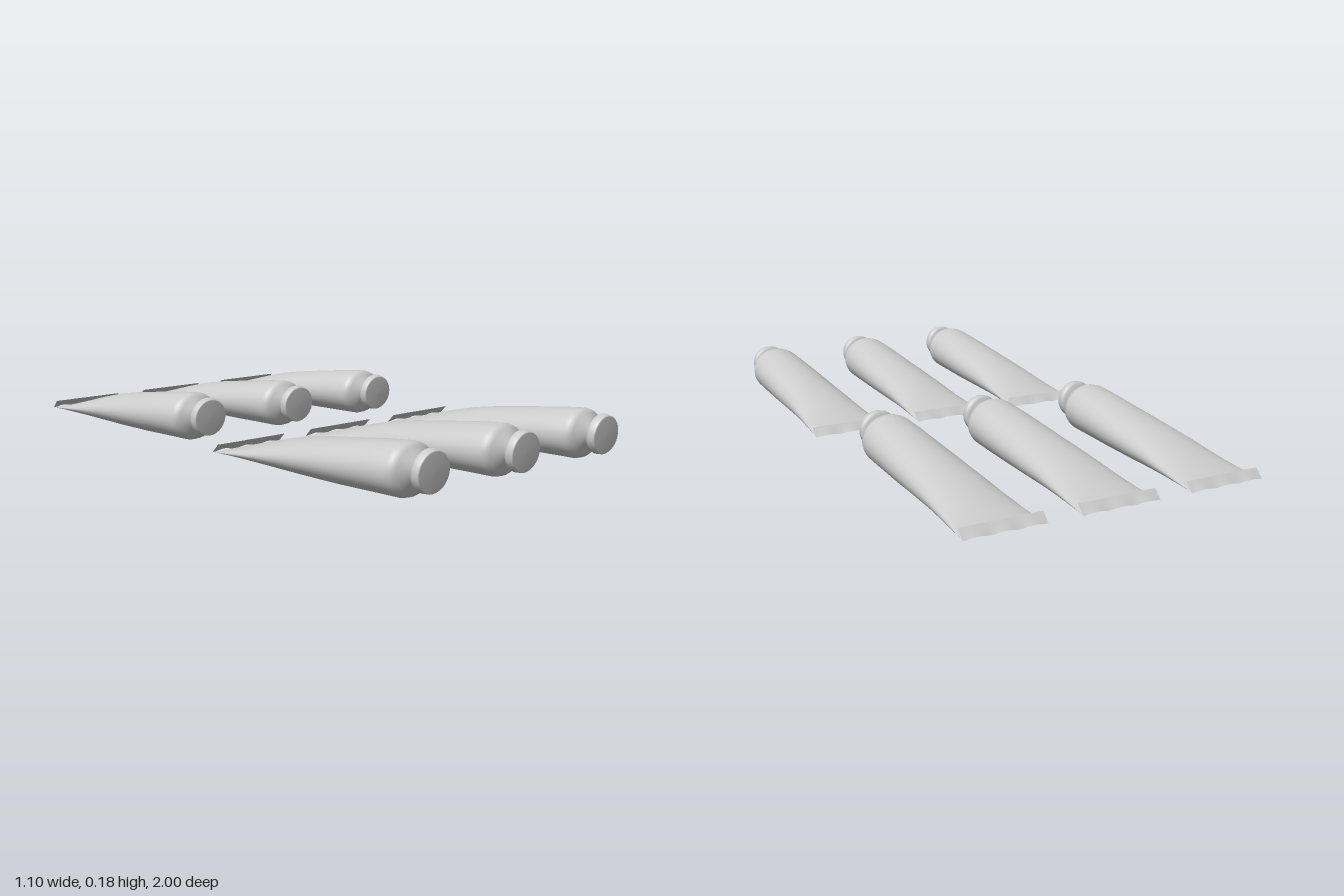
import * as THREE from 'three';

const material = new THREE.MeshStandardMaterial({ color: 0xcccccc });
const thinMaterial = new THREE.MeshStandardMaterial({ color: 0xcccccc, side: THREE.DoubleSide });

// Stations from neck to crimped tail: z, half width, bottom y, top y
const STATIONS = [
  [0.952, 0.024, 0.08, 0.128],
  [0.935, 0.034, 0.07, 0.138],
  [0.915, 0.078, 0.027, 0.17],
  [0.902, 0.095, 0.014, 0.18],
  [0.885, 0.1, 0.009, 0.182],
  [0.8, 0.105, 0.007, 0.173],
  [0.65, 0.11, 0.003, 0.153],
  [0.5, 0.114, 0.002, 0.132],
  [0.4, 0.118, 0.004, 0.115],
  [0.3, 0.124, 0.009, 0.091],
  [0.2, 0.132, 0.018, 0.064],
  [0.105, 0.141, 0.033, 0.037],
];

// Lofts elliptical rings from the round shoulder to the flat tail
function bodyGeometry(sides = 40) {
  const pos = [], idx = [];
  for (const [z, w, y0, y1] of STATIONS) {
    for (let j = 0; j < sides; j++) {
      const a = (j / sides) * Math.PI * 2;
      pos.push(w * Math.cos(a), (y0 + y1) / 2 + ((y1 - y0) / 2) * Math.sin(a), z);
    }
  }
  for (let i = 0; i < STATIONS.length - 1; i++) {
    for (let j = 0; j < sides; j++) {
      const k = (j + 1) % sides;
      const a = i * sides + j, b = i * sides + k;
      idx.push(a, a + sides, b, b, a + sides, b + sides);
    }
  }
  const g = new THREE.BufferGeometry();
  g.setAttribute('position', new THREE.Float32BufferAttribute(pos, 3));
  g.setIndex(idx);
  g.computeVertexNormals();
  return g;
}

// Folded seam: a thin strip leaning up and forward, with a rippled lower edge
function seamGeometry() {
  const g = new THREE.PlaneGeometry(0.286, 1, 32, 2);
  const p = g.attributes.position;
  for (let i = 0; i < p.count; i++) {
    const x = p.getX(i), t = p.getY(i) + 0.5;
    const ripple = 0.006 * (1 - t) * (1 - Math.cos((x / 0.143) * Math.PI * 3 + Math.PI)) / 2;
    p.setXYZ(i, x, 0.035 + 0.03 * t + ripple, 0.102 + 0.03 * t);
  }
  g.computeVertexNormals();
  return g;
}

// Cap with a conical back, rounded rim and flat face
function capGeometry() {
  const profile = [[0, -0.05], [0.024, -0.05], [0.028, -0.046], [0.058, -0.038], [0.067, -0.032],
    [0.069, -0.024], [0.067, -0.012], [0.066, -0.004], [0.063, 0], [0, 0.001]];
  const g = new THREE.LatheGeometry(profile.map(([r, y]) => new THREE.Vector2(r, y)), 32);
  g.rotateX(Math.PI / 2);
  return g;
}

export function createModel() {
  const model = new THREE.Group();
  model.name = 'squeezeTubes';
  const parts = [
    ['tubeBody', bodyGeometry(), material],
    ['foldedSeam', seamGeometry(), thinMaterial],
    ['screwCap', capGeometry(), material],
  ];

  // Two rows of three identical tubes
  for (const z of [0, -1.1]) {
    for (const x of [-0.408, 0, 0.408]) {
      const tube = new THREE.Group();
      tube.name = 'tube';
      for (const [name, geometry, mat] of parts) {
        const mesh = new THREE.Mesh(geometry, mat);
        mesh.name = name;
        if (name === 'screwCap') {
          mesh.position.set(0, 0.104, 0.995);
          mesh.rotation.x = 0.07;
        }
        tube.add(mesh);
      }
      tube.position.set(x, 0, z);
      model.add(tube);
    }
  }
  return model;
}
